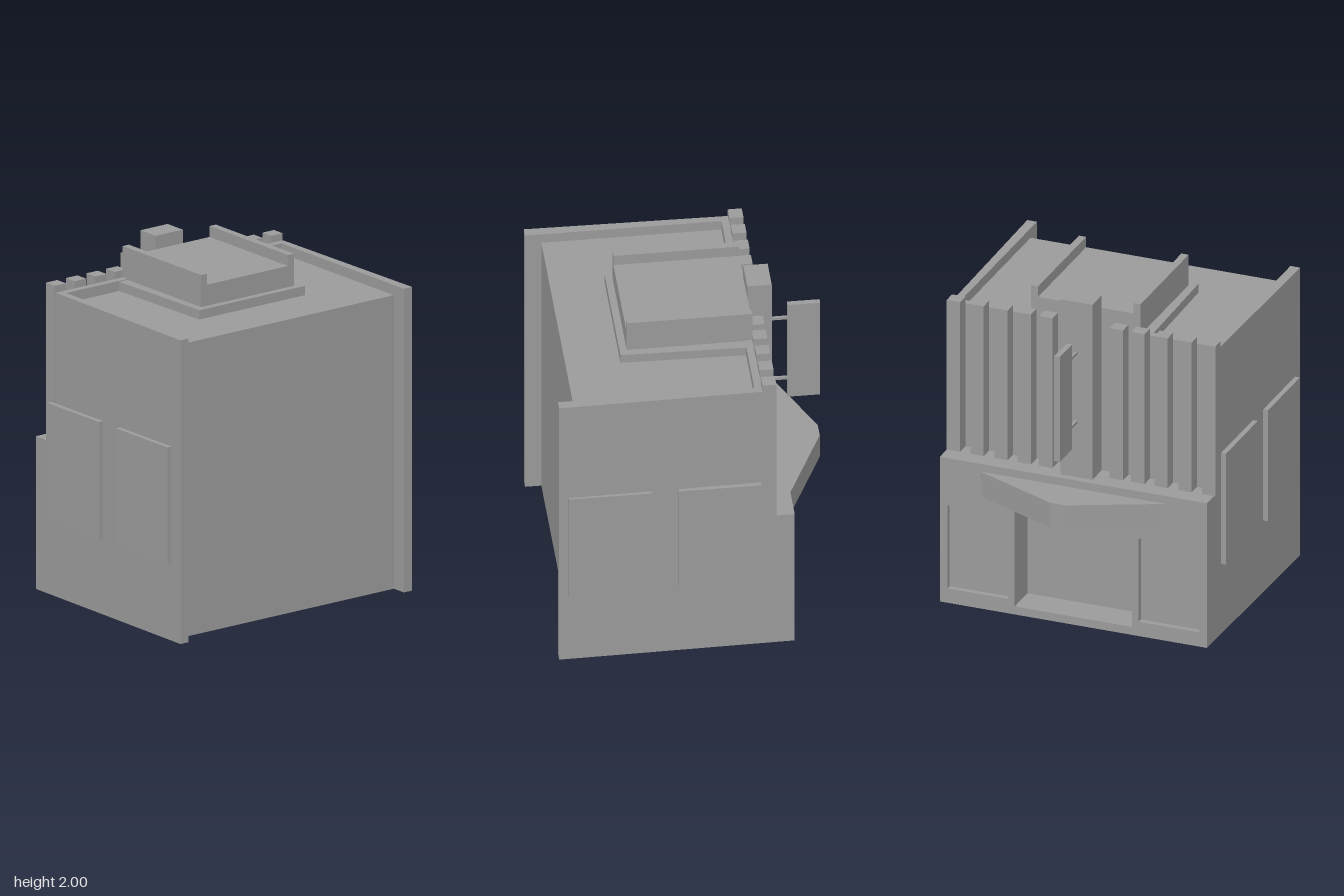
import * as THREE from 'three';

const material = new THREE.MeshStandardMaterial({ color: 0x9b9b9b, flatShading: true });
const SKIN = 0.004; // thickness of the hollow shell

export function createModel() {
  const root = new THREE.Group();
  root.name = 'theatreBuilding';
  const body = new THREE.Group();
  body.name = 'building';
  body.position.z = -0.009;
  root.add(body);

  const add = (name, geometry) => {
    const mesh = new THREE.Mesh(geometry, material);
    mesh.name = name;
    body.add(mesh);
    return mesh;
  };
  // Box given by its limits on each axis
  const box = (name, x0, x1, y0, y1, z0, z1) => {
    const g = new THREE.BoxGeometry(x1 - x0, y1 - y0, z1 - z0);
    g.translate((x0 + x1) / 2, (y0 + y1) / 2, (z0 + z1) / 2);
    return add(name, g);
  };
  const points = (list) => list.map(([x, y]) => new THREE.Vector2(x, y));
  const extrude = (shape, depth) => new THREE.ExtrudeGeometry(shape, { depth, bevelEnabled: false });
  // Prism with a plan outline of [x, z] points
  const prism = (name, plan, y0, y1) => {
    const g = extrude(new THREE.Shape(points(plan.map(([x, z]) => [x, -z]))), y1 - y0);
    g.rotateX(-Math.PI / 2).translate(0, y0, 0);
    return add(name, g);
  };

  // Side wall part: the outer face flares slightly to the rear
  const flare = (x) => 0.818 + 0.018 * (x + 0.554) / 1.347;
  const wallPart = (name, side, profile, innerZ) => {
    const g = extrude(new THREE.Shape(points(profile)), 1);
    const p = g.attributes.position;
    for (let i = 0; i < p.count; i++) {
      const outer = (p.getZ(i) > 0.5) === (side > 0);
      p.setZ(i, side * (outer ? flare(p.getX(i)) : innerZ(p.getX(i))));
    }
    g.computeVertexNormals();
    add(name, g);
  };
  const rect = (x0, x1, y0, y1) => [[x0, y0], [x1, y0], [x1, y1], [x0, y1]];
  const wallProfile = [[-0.554, 0], [0.793, 0], [0.793, 1.8], [-0.37, 1.8], [-0.37, 0.905], [-0.554, 0.905]];

  for (const side of [1, -1]) {
    // Thin side wall, thickened at the rear edge and along the roof
    wallPart('sideWall', side, wallProfile, (x) => flare(x) - SKIN);
    wallPart('rearFlange', side, rect(0.696, 0.793, 0, 1.8), () => 0.777);
    wallPart('sideParapet', side, rect(-0.37, 0.696, 1.736, 1.8), () => 0.777);

    // Panels on the side walls
    const shift = side > 0 ? 0 : 0.025;
    const z = side * 0.843 + 0.009;
    for (const x of [-0.387, 0.24]) {
      box('wallPanel', x + shift, x + shift + 0.474, 0.457, 1.152, z - 0.015, z + 0.015);
    }
  }

  // Rear wall, roof, upper street wall and parapet; open underneath
  box('rearWall', 0.696, 0.7, 0, 1.74, -0.777, 0.777);
  box('roof', -0.37, 0.7, 1.736, 1.74, -0.777, 0.777);
  box('upperStreetWall', -0.37, -0.37 + SKIN, 0.901, 1.74, -0.816, 0.816);
  box('streetParapet', -0.37, -0.328, 1.736, 1.8, -0.777, 0.777);
  box('streetLedge', -0.554, -0.366, 0.901, 0.905, -0.816, 0.816);

  // Shop front with two windows and a deep entrance, each a lined recess
  const front = new THREE.Shape(points(rect(-0.818, 0.818, 0, 0.905)));
  const recess = (name, z0, z1, y0, y1, depth) => {
    front.holes.push(new THREE.Path(points(rect(z0, z1, y0, y1)).reverse()));
    const x0 = -0.554, x1 = x0 + depth;
    box(name + 'Back', x1, x1 + SKIN, y0 - SKIN, y1 + SKIN, z0 - SKIN, z1 + SKIN);
    box(name + 'Sill', x0 + 0.001, x1, y0 - SKIN, y0, z0, z1);
    box(name + 'Head', x0 + 0.001, x1, y1, y1 + SKIN, z0, z1);
    box(name + 'Jamb', x0 + 0.001, x1, y0 - SKIN, y1 + SKIN, z0 - SKIN, z0);
    box(name + 'Jamb', x0 + 0.001, x1, y0 - SKIN, y1 + SKIN, z1, z1 + SKIN);
  };
  recess('window', -0.772, -0.4, 0.09, 0.61, 0.032);
  recess('entrance', -0.36, 0.36, 0.05, 0.7, 0.192);
  recess('window', 0.4, 0.772, 0.09, 0.61, 0.032);
  add('shopFront', extrude(front, SKIN).rotateY(-Math.PI / 2).translate(-0.554 + SKIN, 0, 0));

  // Pointed canopy over the entrance
  prism('canopy', [[-0.554, -0.57], [-0.554, 0.57], [-0.79, 0.047], [-0.79, -0.047]].reverse(), 0.702, 0.857);

  // Vertical ribs and central pylon on the upper street wall
  for (const z of [0.216, 0.348, 0.49, 0.637, 0.782]) {
    for (const side of [1, -1]) {
      const centre = side * z + 0.004;
      box('rib', -0.45, -0.37, 0.905, 1.842, centre - 0.041, centre + 0.041);
    }
  }
  box('pylon', -0.51, -0.37, 0.905, 2, -0.098, 0.098);

  // Projecting blade sign on two brackets
  box('bladeSign', -0.796, -0.61, 1.126, 1.782, -0.018, 0.016);
  for (const y of [1.252, 1.682]) {
    box('signBracket', -0.61, -0.51, y - 0.008, y + 0.008, -0.009, 0.007);
  }

  // Rooftop platform and raised roof house with two rims
  prism('roofPlatform', [[-0.328, 0.396], [0.388, 0.381], [0.388, -0.381], [-0.328, -0.396]], 1.74, 1.795);
  box('roofHouse', -0.37, 0.347, 1.74, 1.92, -0.336, 0.336);
  for (const side of [1, -1]) {
    box('roofRim', -0.37, 0.347, 1.92, 1.985, side * 0.314 - 0.022, side * 0.314 + 0.022);
  }
  return root;
}
